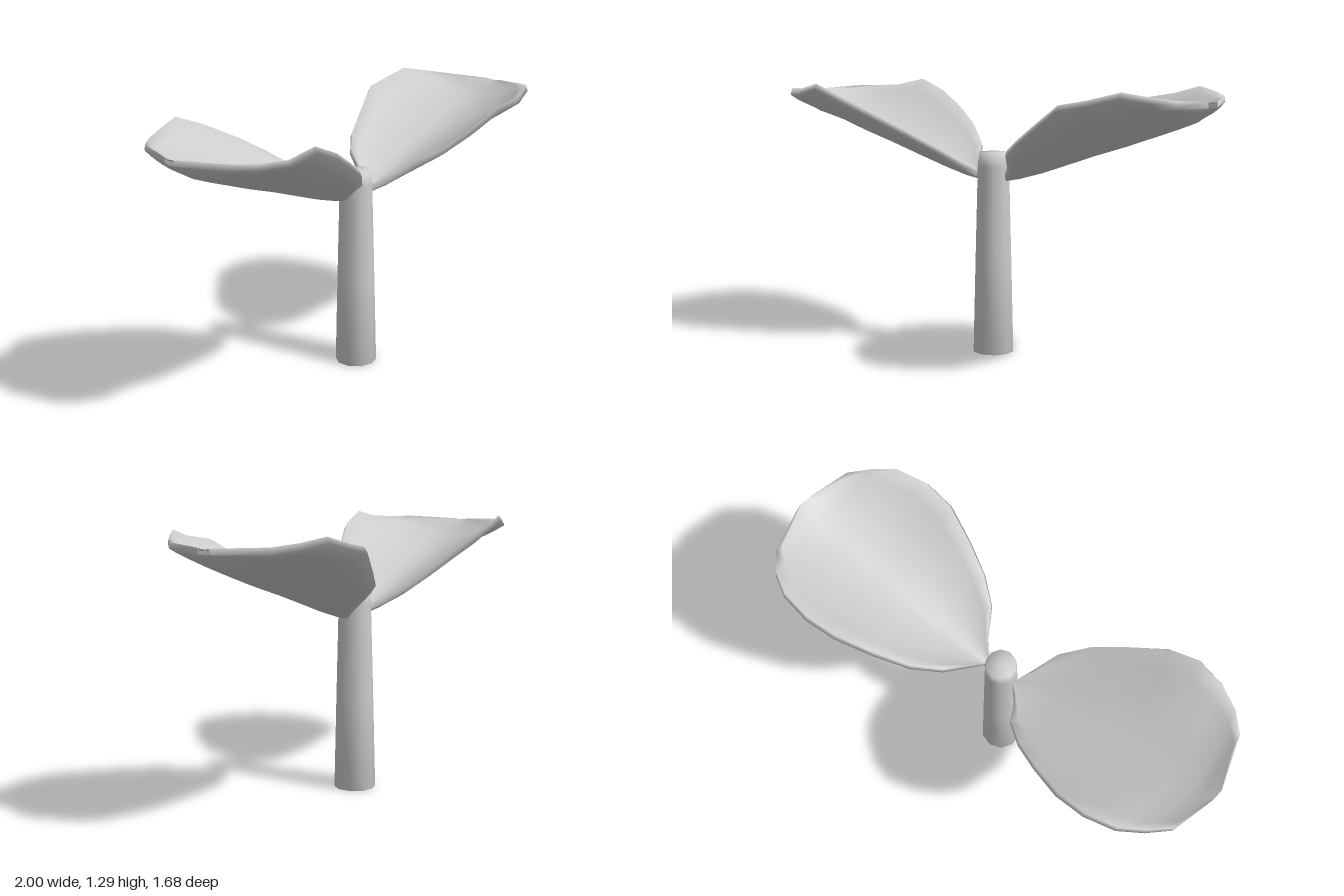
import * as THREE from 'three';

// Leaf stations from neck to tip: [back rim x, z, midrib x, y, z, front rim x, z]
const STATIONS = [
  [0.06, -0.065, 0.06, 0.86, -0.045, 0.075, -0.03],
  [0.055, -0.14, 0.12, 0.875, -0.09, 0.17, -0.005],
  [0.04, -0.26, 0.22, 0.91, -0.16, 0.28, 0.05],
  [0.08, -0.4, 0.33, 0.957, -0.24, 0.41, 0.06],
  [0.16, -0.54, 0.45, 1.007, -0.32, 0.55, 0.04],
  [0.25, -0.68, 0.58, 1.057, -0.41, 0.71, 0.0],
  [0.36, -0.77, 0.68, 1.1, -0.48, 0.84, -0.07],
  [0.48, -0.83, 0.76, 1.135, -0.54, 0.93, -0.18],
  [0.6, -0.84, 0.83, 1.168, -0.59, 0.975, -0.29],
  [0.71, -0.815, 0.88, 1.198, -0.6, 1.0, -0.4],
  [0.905, -0.655, 0.925, 1.236, -0.62, 0.94, -0.585],
];
// Wavy rim heights, one set per leaf
const RIM_A = [0.875, 0.92, 1.0, 1.055, 1.13, 1.225, 1.25, 1.285, 1.265, 1.25, 1.24];
const RIM_B = [0.875, 0.92, 0.99, 1.07, 1.15, 1.23, 1.287, 1.255, 1.25, 1.25, 1.24];

// Cupped leaf: closed cross-sections (upper skin, then underside) joined along its length
function leafGeometry(rim) {
  const half = 6, across = 2 * half + 1, ring = across * 2, thick = 0.026, inset = 0.97;
  const pos = [], index = [];
  STATIONS.forEach(([bx, bz, mx, my, mz, fx, fz], i) => {
    for (let k = 0; k < ring; k++) {
      const under = k >= across;
      const v = ((under ? ring - 1 - k : k) - half) / half;
      const w = Math.abs(v);
      // The underside reaches slightly further out, giving a rounded lip
      const reach = under ? w : w * inset;
      const x = mx + ((v < 0 ? bx : fx) - mx) * reach;
      const z = mz + ((v < 0 ? bz : fz) - mz) * reach;
      const y = my + (rim[i] - my) * Math.pow(w, 1.9);
      pos.push(x, y - (under ? thick : 0), z);
    }
  });
  const last = STATIONS.length - 1;
  for (let i = 0; i < last; i++) {
    for (let k = 0; k < ring; k++) {
      const a = i * ring + k, b = i * ring + (k + 1) % ring;
      index.push(a, b, a + ring, b, b + ring, a + ring);
    }
  }
  // Close the neck and the tip with strips between the two skins
  for (let k = 0; k < across - 1; k++) {
    const a = k, b = k + 1, c = ring - 1 - k, d = ring - 2 - k, o = last * ring;
    index.push(b, a, c, b, c, d);
    index.push(o + a, o + b, o + c, o + b, o + d, o + c);
  }
  const g = new THREE.BufferGeometry();
  g.setAttribute('position', new THREE.Float32BufferAttribute(pos, 3));
  g.setIndex(index);
  g.computeVertexNormals();
  return g;
}

export function createModel() {
  const group = new THREE.Group();
  const grey = new THREE.MeshStandardMaterial({ color: 0xcccccc });
  grey.name = 'plain grey';

  const add = (name, geometry) => {
    const mesh = new THREE.Mesh(geometry, grey);
    mesh.name = name;
    group.add(mesh);
    return mesh;
  };

  // Tapered stem with a nearly flat top
  const profile = [[0, 0], [0.1, 0], [0.089, 0.45], [0.077, 0.9], [0.071, 0.967], [0, 0.967]];
  add('stem', new THREE.LatheGeometry(profile.map(([x, y]) => new THREE.Vector2(x, y)), 10));

  // Two opposite leaves
  add('leftLeaf', leafGeometry(RIM_A));
  add('rightLeaf', leafGeometry(RIM_B)).rotation.y = Math.PI;

  return group;
}
